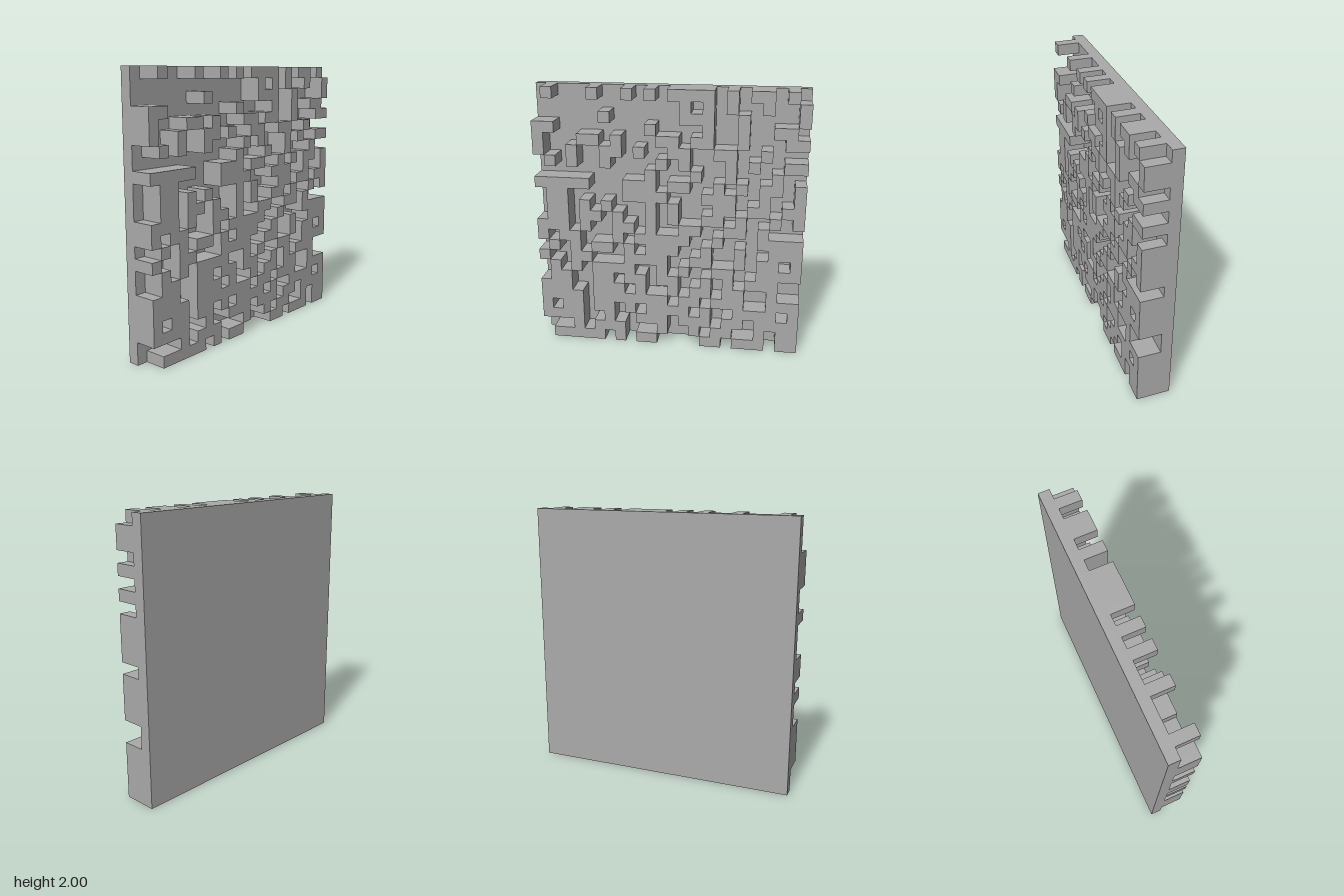
import * as THREE from 'three';
import { mergeGeometries } from 'three/addons/utils/BufferGeometryUtils.js';

// Relief pattern, top row first: # is a raised block, . is the bare slab
const PATTERN = [
  '.#...#' + '..#.#.' + '####.#' + '.##.#.',
  '......' + '......' + '.#.#.#' + '..#..#',
  '......' + '#.....' + '.###..' + '#....#',
  '##....' + '....#.' + '...#..' + '#..##.',
  '#...##' + '.#...#' + '#.##..' + '#...##',
  '#..#..' + '##.#..' + '##..##' + '..#...',
  '.#.#..' + '#....#' + '.#...#' + '.#..##',
  '......' + '....#.' + '..#..#' + '...#..',
  '#####.' + '..###.' + '##..#.' + '#.##.#',
  '.##...' + '..####' + '...###' + '..#..#',
  '.##.#.' + '#...#.' + '#...##' + '.##.##',
  '.##.##' + '.#..#.' + '#..##.' + '#..#.#',
  '###.#.' + '.##.#.' + '.##..#' + '#.#...',
  '#.##..' + '.#.###' + '##..#.' + '..####',
  '.#.#.#' + '#.#.##' + '#..#..' + '#..###',
  '#..##.' + '..####' + '..##..' + '#.##.#',
  '.#.#.#' + '###..#' + '.#..##' + '..####',
  '.##..#' + '#.##.#' + '#..#.#' + '.###..',
  '###..#' + '##.#..' + '#.##.#' + '#..#..',
  '####.#' + '######' + '.##.##' + '#..###',
  '#.##.#' + '#.#.##' + '##.#..' + '####.#',
  '####..' + '#..###' + '.###.#' + '#.####',
  '...#.#' + '##...#' + '..#.##' + '..#.##',
  '.#####' + '.#.##.' + '...##.' + '###.##',
];
const N = 24, CELL = 2 / N;
const SLAB = CELL, RISE = 2 * CELL, BACK = -(SLAB + RISE) / 2;

const isRaised = (col, row) => PATTERN[row]?.[col] === '#';

// One rectangle, turned to face its direction and moved into place
function face(w, h, rx, ry, x, y, z) {
  return new THREE.PlaneGeometry(w, h).rotateX(rx).rotateY(ry).translate(x, y, z);
}

export function createModel() {
  const grey = new THREE.MeshStandardMaterial({ color: 0xaaaaaa });
  grey.name = 'stone grey';
  const group = new THREE.Group();
  group.name = 'reliefPanel';

  // Flat backing slab
  const slab = new THREE.Mesh(new THREE.BoxGeometry(2, 2, SLAB), grey);
  slab.name = 'backingSlab';
  slab.position.set(0, 1, BACK + SLAB / 2);
  group.add(slab);

  // Raised blocks: a front face each, and side walls only where the relief steps down
  const faces = [];
  const mid = BACK + SLAB + RISE / 2, half = CELL / 2, q = Math.PI / 2;
  for (let row = 0; row < N; row++) {
    for (let col = 0; col < N; col++) {
      if (!isRaised(col, row)) continue;
      const x = -1 + (col + 0.5) * CELL, y = 2 - (row + 0.5) * CELL;
      faces.push(face(CELL, CELL, 0, 0, x, y, -BACK));
      if (!isRaised(col + 1, row)) faces.push(face(RISE, CELL, 0, q, x + half, y, mid));
      if (!isRaised(col - 1, row)) faces.push(face(RISE, CELL, 0, -q, x - half, y, mid));
      if (!isRaised(col, row - 1)) faces.push(face(CELL, RISE, -q, 0, x, y + half, mid));
      if (!isRaised(col, row + 1)) faces.push(face(CELL, RISE, q, 0, x, y - half, mid));
    }
  }
  const blocks = new THREE.Mesh(mergeGeometries(faces), grey);
  blocks.name = 'raisedBlocks';
  group.add(blocks);
  return group;
}
